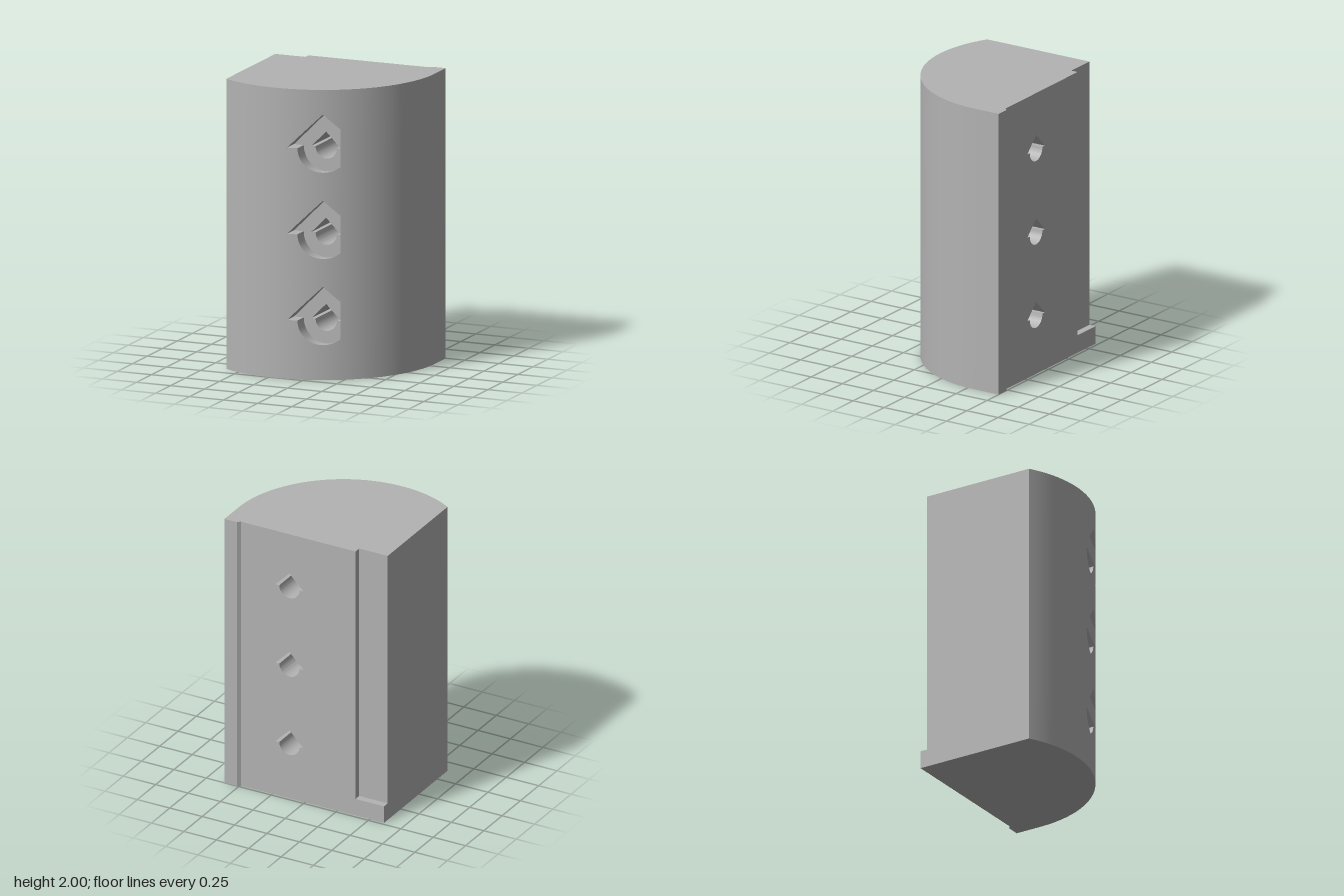
import * as THREE from 'three';
import { toCreasedNormals } from 'three/addons/utils/BufferGeometryUtils.js';

// Plan of the block: rounded front of radius R about (CX, CZ), flat sides and back
const R = 0.81, CX = -0.2, CZ = -0.31, HALF = 0.61, HEIGHT = 2;
const STEP_X = -0.39, RECESS_Z = -0.43, BACK_Z = -0.48, RIB_Z = -0.5, LEDGE_Y = 0.125;
// Three arrow-shaped holes, each inside a larger flat-bottomed pocket
const HOLE_X = 0.12, HOLE_YS = [0.406, 1, 1.594], FLOOR_Z = 0.38;
const SMALL = { h: 0.108, r: 0.078 }, BIG = { h: 0.236, r: 0.165 };
const POCKET_END = CX + Math.sqrt(R * R - (FLOOR_Z - CZ) ** 2);

const front = (x) => CZ + Math.sqrt(Math.max(0, R * R - (x - CX) ** 2));

// Lower and upper edge of an opening at x: half circle below, pointed roof above
function opening({ h, r }, x) {
  const d = Math.abs(x - HOLE_X);
  return [d < r ? -Math.sqrt(r * r - d * d) : 0, Math.max(0, h - d)];
}

// x positions where the block is divided into columns
function columnPositions() {
  const xs = [-HALF, STEP_X, 0.495, 0.515, HALF, POCKET_END, HOLE_X];
  for (const o of [SMALL, BIG]) {
    for (const s of [-1, 1]) xs.push(HOLE_X + s * o.h, HOLE_X + s * o.r);
  }
  const add = (x) => { if (xs.every((v) => Math.abs(v - x) > 0.0008)) xs.push(x); };
  for (const o of [SMALL, BIG]) {
    for (let i = 1; i < 28; i++) add(HOLE_X + o.r * Math.cos((Math.PI * i) / 28));
  }
  const start = Math.acos((-HALF - CX) / R);
  for (let i = 1; i < 56; i++) add(CX + R * Math.cos((start * i) / 56));
  return xs.sort((a, b) => a - b);
}

function blockGeometry() {
  const pos = [];
  const tri = (a, b, c) => {
    const [A, B, C] = [a, b, c].map((p) => new THREE.Vector3(...p));
    if (B.clone().sub(A).cross(C.clone().sub(A)).length() > 1e-9) pos.push(...a, ...b, ...c);
  };
  const quad = (a, b, c, d) => { tri(a, b, c); tri(a, c, d); };

  const xs = columnPositions();
  for (let i = 0; i < xs.length - 1; i++) {
    const x0 = xs[i], x1 = xs[i + 1], mid = (x0 + x1) / 2;
    const inPocket = mid < POCKET_END;
    const mouth = inPocket ? BIG : SMALL;
    const back = (x) => mid < STEP_X ? RECESS_Z
      : THREE.MathUtils.mapLinear(THREE.MathUtils.clamp(x, 0.495, 0.515), 0.495, 0.515, BACK_Z, RIB_Z);
    const holeEnd = (x) => (inPocket ? Math.min(FLOOR_Z, front(x)) : front(x));

    // One strip across the column between the (y, z) points given by a and b
    const strip = (a, b) => quad([x0, ...a(x0)], [x1, ...a(x1)], [x1, ...b(x1)], [x0, ...b(x0)]);

    // Top and bottom
    strip((x) => [HEIGHT, front(x)], (x) => [HEIGHT, back(x)]);
    strip((x) => [0, back(x)], (x) => [0, front(x)]);

    // Front and back faces between the openings
    for (let k = 0; k <= HOLE_YS.length; k++) {
      const low = (o, x) => (k === 0 ? 0 : HOLE_YS[k - 1] + opening(o, x)[1]);
      const high = (o, x) => (k === HOLE_YS.length ? HEIGHT : HOLE_YS[k] + opening(o, x)[0]);
      strip((x) => [low(mouth, x), front(x)], (x) => [high(mouth, x), front(x)]);
      strip((x) => [high(SMALL, x), back(x)], (x) => [low(SMALL, x), back(x)]);
    }

    // Hole walls, pocket walls and pocket floor
    for (const y of HOLE_YS) {
      const walls = (o, zBack, zFront) => {
        const bottom = (x) => y + opening(o, x)[0], top = (x) => y + opening(o, x)[1];
        strip((x) => [bottom(x), zFront(x)], (x) => [bottom(x), zBack(x)]);
        strip((x) => [top(x), zBack(x)], (x) => [top(x), zFront(x)]);
      };
      if (Math.abs(mid - HOLE_X) < SMALL.h) walls(SMALL, back, holeEnd);
      if (inPocket && Math.abs(mid - HOLE_X) < BIG.h) {
        walls(BIG, () => FLOOR_Z, front);
        for (const [oa, ob, e] of [[BIG, SMALL, 0], [SMALL, BIG, 1]]) {
          strip((x) => [y + opening(oa, x)[e], FLOOR_Z], (x) => [y + opening(ob, x)[e], FLOOR_Z]);
        }
      }
    }
  }

  // Flat walls facing sideways: both ends and the step of the back recess
  const side = (x, zBack, zFront, dir) => {
    const p = [[x, 0, zFront], [x, 0, zBack], [x, HEIGHT, zBack], [x, HEIGHT, zFront]];
    quad(...(dir > 0 ? p : p.reverse()));
  };
  side(-HALF, RECESS_Z, front(-HALF), -1);
  side(HALF, RIB_Z, front(HALF), 1);
  side(STEP_X, BACK_Z, RECESS_Z, -1);

  const g = new THREE.BufferGeometry();
  g.setAttribute('position', new THREE.Float32BufferAttribute(pos, 3));
  return toCreasedNormals(g, 0.45);
}

export function createModel() {
  const group = new THREE.Group();
  group.name = 'roundedBlock';
  const grey = new THREE.MeshStandardMaterial({ color: 0xb3b3b3 });
  grey.name = 'plain grey';

  const block = new THREE.Mesh(blockGeometry(), grey);
  block.name = 'block';

  // Ledge closing the foot of the back recess
  const ledge = new THREE.Mesh(
    new THREE.BoxGeometry(STEP_X + HALF, LEDGE_Y, RECESS_Z - BACK_Z), grey);
  ledge.position.set((STEP_X - HALF) / 2, LEDGE_Y / 2, (RECESS_Z + BACK_Z) / 2);
  ledge.name = 'recessLedge';

  group.add(block, ledge);
  return group;
}
